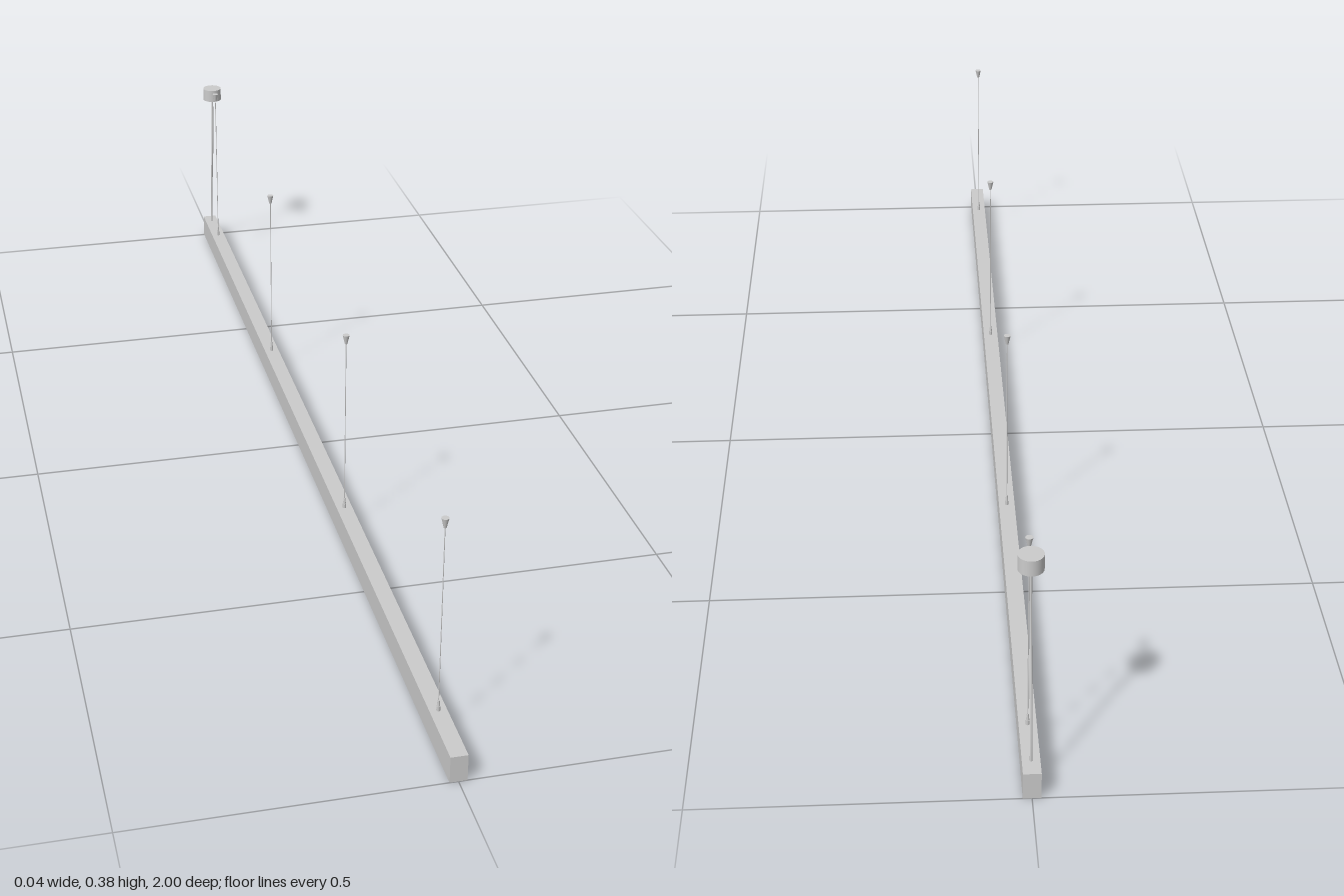
import * as THREE from 'three';

const material = new THREE.MeshStandardMaterial({ color: 0xcccccc });
const BAR_TOP = 0.045;
const CEILING = 0.378;

function add(parent, name, geometry, x, y, z) {
  const mesh = new THREE.Mesh(geometry, material);
  mesh.name = name;
  mesh.position.set(x, y, z);
  parent.add(mesh);
  return mesh;
}

// Upright cylinder or cone spanning y0..y1
function addColumn(parent, name, rTop, rBottom, y0, y1, sides = 24) {
  const geometry = new THREE.CylinderGeometry(rTop, rBottom, y1 - y0, sides);
  return add(parent, name, geometry, 0, (y0 + y1) / 2, 0);
}

export function createModel() {
  const model = new THREE.Group();
  model.name = 'linearPendantLamp';

  // Long light bar
  add(model, 'lightBar', new THREE.BoxGeometry(0.027, BAR_TOP, 2), 0, BAR_TOP / 2, 0);

  // Four suspensions: gripper on the bar, thin wire, ceiling cone
  for (const z of [-0.89, -0.306, 0.306, 0.89]) {
    const suspension = new THREE.Group();
    suspension.name = 'suspension';
    suspension.position.z = z;
    addColumn(suspension, 'gripperBase', 0.003, 0.003, BAR_TOP, 0.053, 16);
    addColumn(suspension, 'gripperTip', 0.0015, 0.0025, 0.053, 0.064, 16);
    addColumn(suspension, 'wire', 0.0007, 0.0007, 0.06, 0.364, 8);
    addColumn(suspension, 'ceilingCone', 0.0058, 0.0022, 0.362, CEILING);
    model.add(suspension);
  }

  // Round ceiling canopy for the power feed
  const canopy = addColumn(model, 'ceilingCanopy', 0.019, 0.019, 0.353, CEILING, 48);
  canopy.position.z = -0.93;

  // Power cable sagging from the canopy to the end of the bar
  const path = new THREE.CubicBezierCurve3(
    new THREE.Vector3(0, 0.355, -0.93),
    new THREE.Vector3(0, 0.22, -0.928),
    new THREE.Vector3(0, 0.17, -0.968),
    new THREE.Vector3(0, 0.044, -0.971),
  );
  add(model, 'powerCable', new THREE.TubeGeometry(path, 40, 0.002, 12), 0, 0, 0);

  return model;
}
